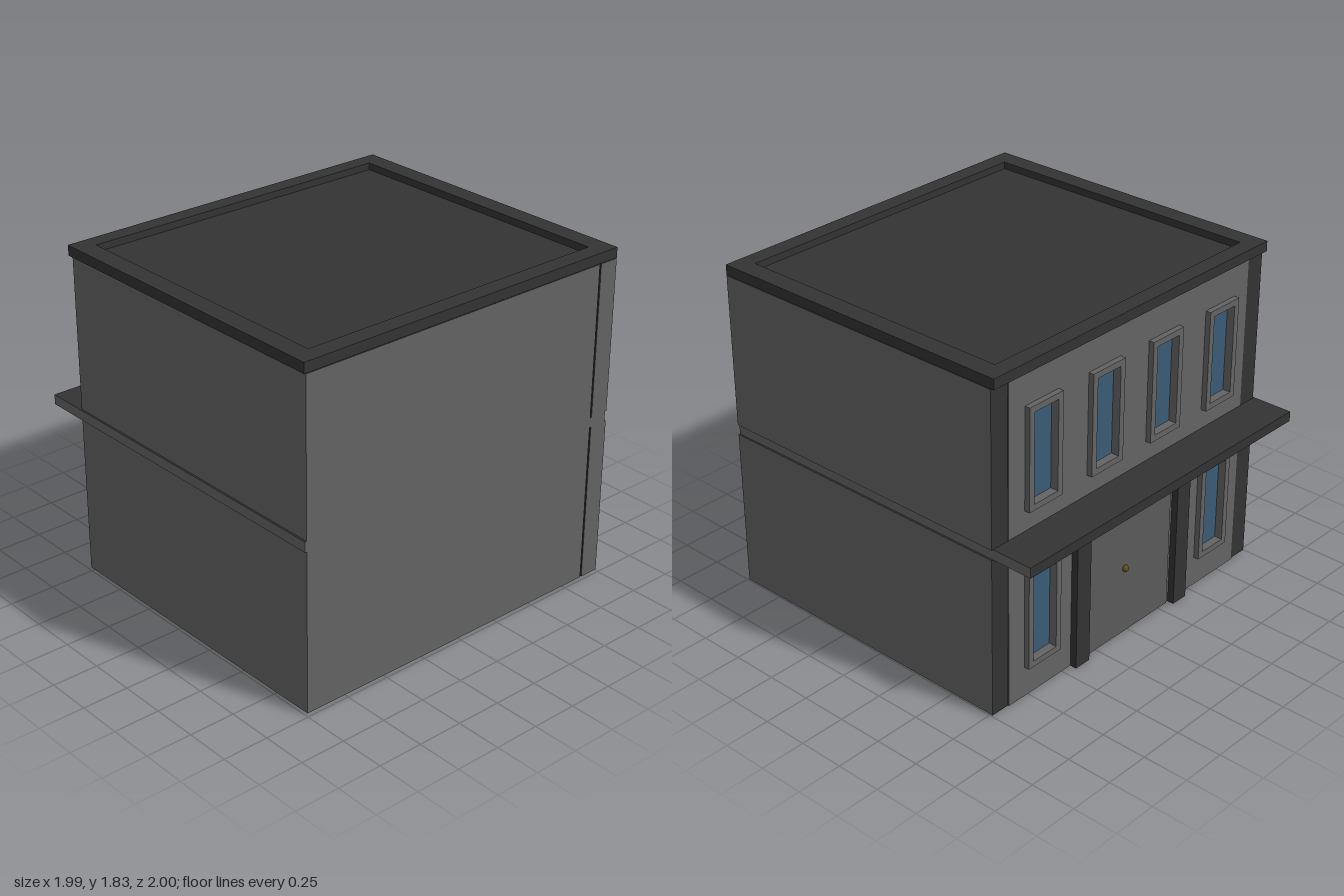
import * as THREE from 'three';

const paint = (color) => new THREE.MeshStandardMaterial({ color });
const light = paint(0x636363);
const dark = paint(0x333333);
const doorGrey = paint(0x5a5a5a);
const glass = paint(0x3a5b75);
const brass = paint(0x5a5020);

// Box from min/max corners; faces are ordered +x, -x, +y, -y, +z, -z
function block(parent, name, [x0, x1], [y0, y1], [z0, z1], material) {
  const mesh = new THREE.Mesh(new THREE.BoxGeometry(x1 - x0, y1 - y0, z1 - z0), material);
  mesh.position.set((x0 + x1) / 2, (y0 + y1) / 2, (z0 + z1) / 2);
  mesh.name = name;
  parent.add(mesh);
  return mesh;
}

function trace(path, [a0, a1], [b0, b1]) {
  path.moveTo(a0, b0);
  path.lineTo(a1, b0);
  path.lineTo(a1, b1);
  path.lineTo(a0, b1);
  path.closePath();
  return path;
}

// Upright panel facing -x, with rectangular openings given as [z range, y range]
function panel(parent, name, [x0, x1], zRange, yRange, openings, material) {
  const shape = trace(new THREE.Shape(), zRange, yRange);
  openings.forEach(([z, y]) => shape.holes.push(trace(new THREE.Path(), z, y)));
  const geometry = new THREE.ExtrudeGeometry(shape, { depth: x1 - x0, bevelEnabled: false });
  geometry.rotateY(-Math.PI / 2).translate(x1, 0, 0);
  const mesh = new THREE.Mesh(geometry, material);
  mesh.name = name;
  parent.add(mesh);
}

const HALF = 0.115; // half width of a window frame
const RIM = 0.033;
const opening = (z, y0) => [
  [z - HALF + RIM, z + HALF - RIM],
  [y0 + RIM, y0 + 0.55 - RIM],
];

// Raised frame with recessed glass
function windowUnit(parent, z, y0) {
  const group = new THREE.Group();
  group.name = 'window';
  const [zIn, yIn] = opening(z, y0);
  panel(group, 'windowFrame', [-0.8, -0.765], [z - HALF, z + HALF], [y0, y0 + 0.55], [[zIn, yIn]], light);
  block(group, 'windowGlass', [-0.755, -0.745], yIn, zIn, glass);
  parent.add(group);
}

// Side walls of one storey, light outside and dark on the ends and inside
function storeyWalls(parent, y) {
  const group = new THREE.Group();
  group.name = 'storeyWalls';
  block(group, 'frontWall', [-0.77, 0.985], y, [0.88, 0.99], [light, dark, dark, dark, light, dark]);
  block(group, 'backWall', [-0.77, 0.985], y, [-1, -0.89], [light, dark, dark, dark, dark, light]);
  block(group, 'sideWall', [0.875, 0.985], y, [-0.88, 0.88], [light, dark, dark, dark, dark, dark]);
  parent.add(group);
}

export function createModel() {
  const model = new THREE.Group();
  model.name = 'building';

  storeyWalls(model, [0.008, 0.885]);
  storeyWalls(model, [0.94, 1.772]);

  // Floor slab that continues as a canopy over the entrance
  block(model, 'floorSlab', [-1, 0.985], [0.885, 0.94], [-0.99, 1], [light, dark, dark, dark, light, light]);

  // Upper facade with four windows
  const upper = [-0.66, -0.22, 0.22, 0.66];
  panel(model, 'upperFacade', [-0.77, -0.66], [-0.885, 0.88], [0.94, 1.772],
    upper.map((z) => opening(z, 1.05)), light);
  upper.forEach((z) => windowUnit(model, z, 1.05));

  // Lower facade: a window bay and a column on each side of the entrance
  for (const side of [-1, 1]) {
    const span = (a, b) => [side * a, side * b].sort((p, q) => p - q);
    const bay = span(0.44, 0.885);
    panel(model, 'lowerFacade', [-0.77, -0.665], bay, [0, 0.885], [opening(side * 0.66, 0.17)], light);
    block(model, 'facadeLining', [-0.665, -0.66], [0, 0.885], bay, dark);
    windowUnit(model, side * 0.66, 0.17);
    block(model, 'entranceColumn', [-0.808, -0.765], [0, 0.885], span(0.335, 0.435), dark);
  }

  // Entrance
  block(model, 'entranceWall', [-0.77, -0.66], [0.004, 0.885], [-0.44, 0.44], light);
  block(model, 'door', [-0.778, -0.768], [0.004, 0.71], [-0.315, 0.315], doorGrey);
  const knob = new THREE.Mesh(new THREE.SphereGeometry(0.018, 16, 12), brass);
  knob.name = 'doorKnob';
  knob.position.set(-0.785, 0.39, -0.04);
  model.add(knob);

  // Flat roof with a raised parapet
  const outline = trace(new THREE.Shape(), [-0.79, 0.985], [-1, 1]);
  outline.holes.push(trace(new THREE.Path(), [-0.7, 0.89], [-0.895, 0.895]));
  const rim = new THREE.ExtrudeGeometry(outline, { depth: 0.055, bevelEnabled: false });
  rim.rotateX(-Math.PI / 2);
  const parapet = new THREE.Mesh(rim, dark);
  parapet.position.y = 1.775;
  parapet.name = 'parapet';
  model.add(parapet);
  block(model, 'roofDeck', [-0.7, 0.89], [1.775, 1.792], [-0.895, 0.895], dark);

  return model;
}
